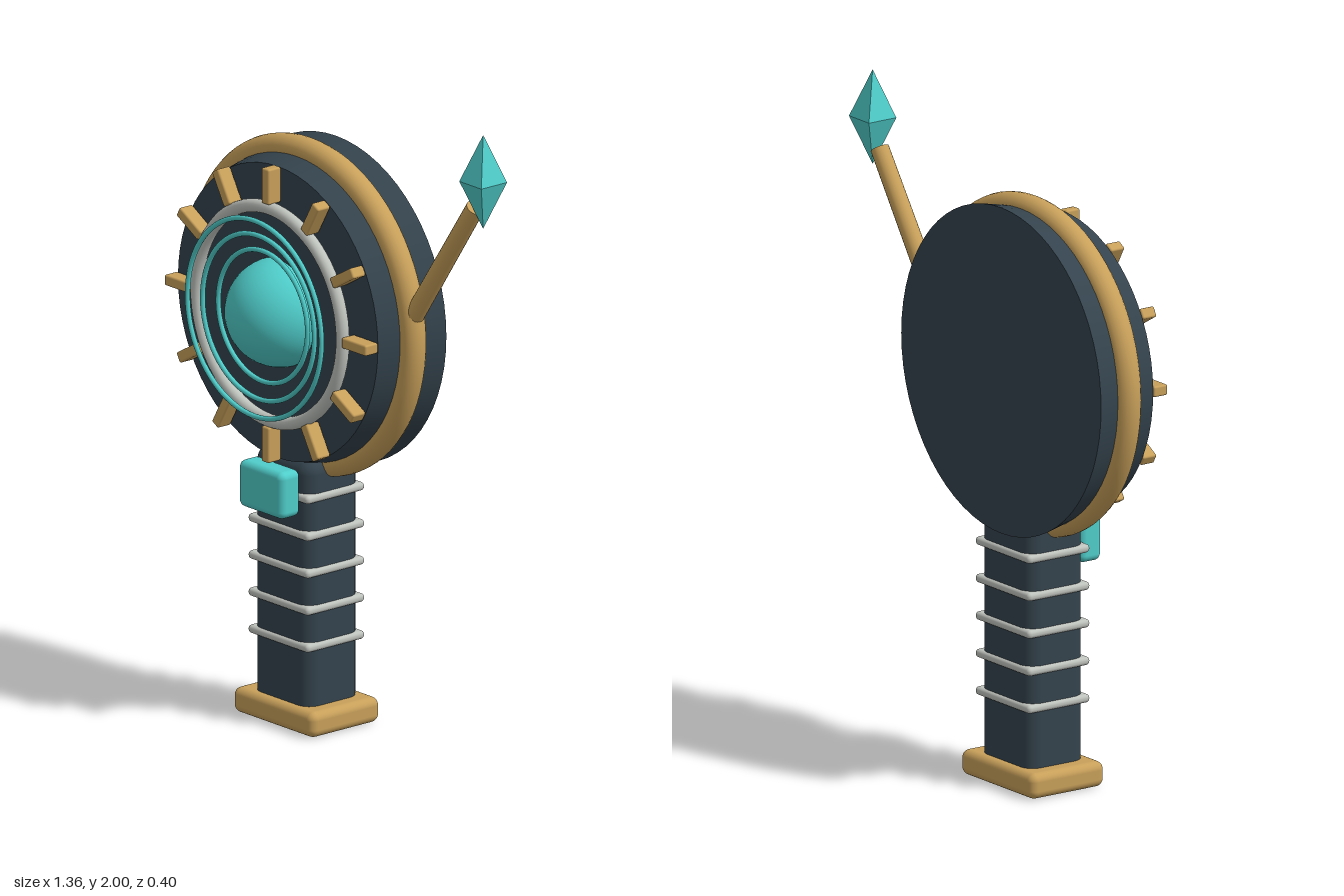
import * as THREE from 'three';
import { RoundedBoxGeometry } from 'three/addons/geometries/RoundedBoxGeometry.js';

const mat = (color, flatShading = false) => new THREE.MeshStandardMaterial({ color, flatShading });

export function createModel() {
  const model = new THREE.Group();
  const gold = mat(0xc8a05a), dark = mat(0x34434d), silver = mat(0xbfc3bd);
  const teal = mat(0x4fcdca), crystalTeal = mat(0x4fcdca, true);
  const CX = -0.165, CY = 1.28, HANDLE_Z = -0.067;

  function add(name, geometry, material, x, y, z, parent = model) {
    const mesh = new THREE.Mesh(geometry, material);
    mesh.name = name;
    mesh.position.set(x, y, z);
    parent.add(mesh);
    return mesh;
  }

  // Handle: base plate, rounded grip, grip bands and thumb button
  add('basePlate', new RoundedBoxGeometry(0.365, 0.078, 0.27, 4, 0.025), gold, CX, 0.042, HANDLE_Z);
  add('grip', new RoundedBoxGeometry(0.255, 0.8, 0.21, 5, 0.045), dark, CX, 0.44, HANDLE_Z);
  for (let i = 0; i < 5; i++) {
    add('gripBand', new RoundedBoxGeometry(0.273, 0.026, 0.227, 3, 0.012), silver, CX, 0.267 + i * 0.115, HANDLE_Z);
  }
  add('button', new RoundedBoxGeometry(0.2, 0.145, 0.08, 4, 0.022), teal, CX, 0.743, 0.077);

  // Head: every part is centred on the dial axis
  const head = new THREE.Group();
  head.name = 'head';
  head.position.set(CX, CY, 0);
  model.add(head);

  const drum = new THREE.CylinderGeometry(0.452, 0.5, 0.225, 64).rotateX(Math.PI / 2);
  add('drum', drum, dark, 0, 0, -0.069, head);
  add('rim', new THREE.TorusGeometry(0.477, 0.041, 20, 80), gold, 0, 0, -0.069, head);
  add('dialRing', new THREE.TorusGeometry(0.329, 0.02, 16, 72), silver, 0, 0, 0.075, head);

  // Twelve hour-style marker bars
  for (let i = 0; i < 12; i++) {
    const a = i * Math.PI / 6;
    const bar = add('markerBar', new RoundedBoxGeometry(0.11, 0.033, 0.05, 2, 0.006), gold,
      Math.cos(a) * 0.4, Math.sin(a) * 0.4, 0.07, head);
    bar.rotation.z = a;
  }

  // Stepped emitter rings around the glowing dome
  [[0.202, 0.102], [0.253, 0.119], [0.303, 0.135]].forEach(([r, z]) =>
    add('emitterRing', new THREE.TorusGeometry(r, 0.008, 10, 72), teal, 0, 0, z, head));
  add('dome', new THREE.SphereGeometry(0.165, 40, 28), teal, 0, 0, 0.035, head);

  // Slanted antenna with a crystal tip
  const from = new THREE.Vector3(0.29, 1.32, -0.069), to = new THREE.Vector3(0.597, 1.767, -0.069);
  const dir = to.clone().sub(from), mid = from.clone().add(to).multiplyScalar(0.5);
  const rod = add('antenna', new THREE.CylinderGeometry(0.028, 0.03, dir.length(), 20), gold, mid.x, mid.y, mid.z);
  rod.quaternion.setFromUnitVectors(new THREE.Vector3(0, 1, 0), dir.normalize());
  const crystal = new THREE.OctahedronGeometry(1).scale(0.0707, 0.145, 0.0707).rotateY(Math.PI / 4);
  add('crystalTip', crystal, crystalTeal, 0.632, 1.855, -0.069);

  return model;
}
